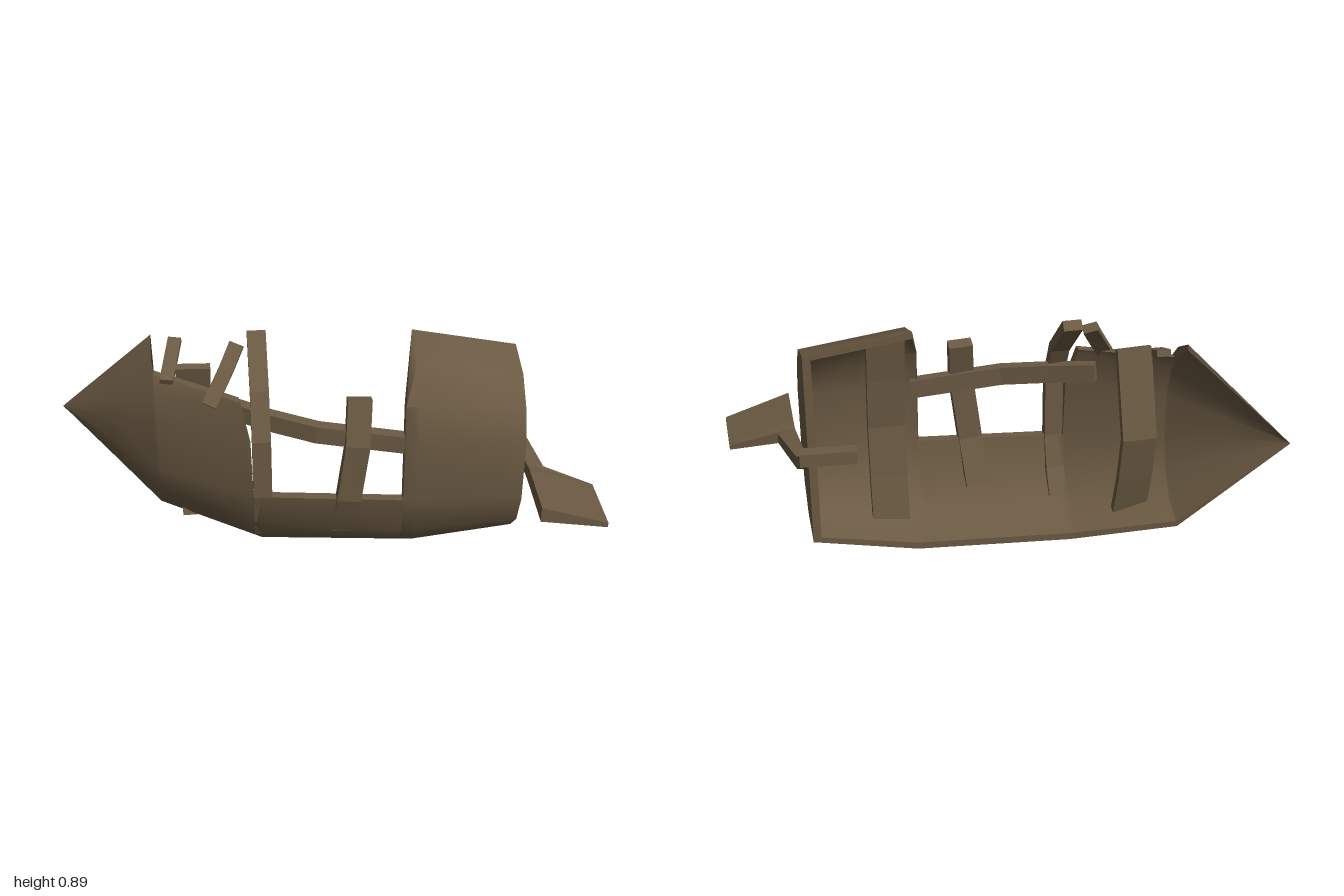
import * as THREE from 'three';

const MID = 0.45;

// Hull stations: x, four z values (rim to keel), four half-heights about MID
const STATIONS = [
  [-1.0, -0.43, -0.428, -0.425, -0.42, 0, 0, 0, 0],
  [-0.63, -0.30, -0.20, -0.125, -0.095, 0.375, 0.325, 0.215, 0.1],
  [-0.24, -0.19, -0.02, 0.07, 0.10, 0.445, 0.395, 0.275, 0.12],
  [0.34, -0.13, 0.04, 0.14, 0.17, 0.445, 0.395, 0.275, 0.12],
  [0.73, -0.107, 0.05, 0.14, 0.19, 0.378, 0.34, 0.25, 0.12],
];

// Broken upper edge: x and height at which the planking ends
const COLUMNS = [
  [-1, 1], [-0.8, 1], [-0.63, 1], [-0.622, 0.73], [-0.45, 0.72], [-0.31, 0.71],
  [-0.275, 0.55], [-0.27, 0.33], [-0.24, 0.33], [0.05, 0.33], [0.286, 0.33],
  [0.29, 0.72], [0.34, 1], [0.53, 1], [0.73, 1],
];

// Eight-point cross-section at x, ordered bottom rim to top rim, cut off at top
function section(x, top, inner) {
  let i = 0;
  while (i < STATIONS.length - 2 && x > STATIONS[i + 1][0]) i++;
  const a = STATIONS[i], b = STATIONS[i + 1];
  const t = (x - a[0]) / (b[0] - a[0]);
  const s = a.map((v, k) => v + (b[k] - v) * t);
  const ring = [];
  for (let j = 0; j < 8; j++) {
    const k = j < 4 ? j : 7 - j;
    let z = s[1 + k], h = s[5 + k];
    if (inner) {
      z = s[1] + (z - s[1]) * 0.88;
      h *= 0.94;
    }
    ring.push(new THREE.Vector3(x, MID + (j < 4 ? -h : h), z));
  }
  for (let j = 1; j < 8; j++) {
    if (ring[j].y > top) {
      const p = ring[j - 1], q = ring[j];
      const cut = p.clone().lerp(q, q.y > p.y ? Math.max(0, (top - p.y) / (q.y - p.y)) : 0);
      for (let k = j; k < 8; k++) ring[k] = cut.clone();
      break;
    }
  }
  return ring;
}

// Surface through rows of points
function skin(rows, smooth) {
  const n = rows[0].length, index = [];
  for (let i = 0; i < rows.length - 1; i++) {
    for (let j = 0; j < n - 1; j++) {
      const a = i * n + j, b = a + n;
      index.push(a, b, a + 1, b, b + 1, a + 1);
    }
  }
  let g = new THREE.BufferGeometry().setFromPoints(rows.flat());
  g.setIndex(index);
  if (!smooth) g = g.toNonIndexed();
  g.computeVertexNormals();
  return g;
}

// Solid lofted through closed four-corner rings, with end caps
function loft(rings) {
  const rows = rings.map((r) => [...r, r[0]]);
  const cap = (r) => [r[0], r[0], r[0], r[0], r[0]];
  const end = (r) => {
    const c = r[0].clone().add(r[1]).add(r[2]).add(r[3]).multiplyScalar(0.25);
    return cap([c]);
  };
  return skin([end(rings[0]), ...rows, end(rings[rings.length - 1])], false);
}

// Timber of rectangular section along a path; side gives the width direction
function timber(path, width, depth, side) {
  const pts = path.map((p) => new THREE.Vector3(...p));
  const rings = pts.map((p, i) => {
    const t = pts[Math.min(i + 1, pts.length - 1)].clone().sub(pts[Math.max(i - 1, 0)]).normalize();
    const n = new THREE.Vector3().crossVectors(t, new THREE.Vector3(...side)).normalize();
    const u = new THREE.Vector3().crossVectors(n, t).normalize();
    return [[1, 1], [-1, 1], [-1, -1], [1, -1]].map(([a, b]) =>
      p.clone().addScaledVector(u, a * width / 2).addScaledVector(n, b * depth / 2));
  });
  return loft(rings);
}

export function createModel() {
  const group = new THREE.Group();
  const wood = new THREE.MeshStandardMaterial({ color: 0x6b5a43, side: THREE.DoubleSide });
  wood.name = 'weathered wood';
  const add = (name, geometry) => {
    const mesh = new THREE.Mesh(geometry, wood);
    mesh.name = name;
    group.add(mesh);
    return mesh;
  };

  // Planked shell with thickness
  const last = COLUMNS.length - 1;
  const outer = COLUMNS.map(([x, top]) => section(x, top, false));
  const inner = COLUMNS.map(([x, top], i) =>
    section(i === 0 ? -0.97 : i === last ? 0.70 : x, top, true));
  add('outerHull', skin(outer, true));
  add('innerHull', skin(inner, true));
  add('lowerRim', skin(outer.map((r, i) => [r[0], inner[i][0]]), false));
  add('upperRim', skin(outer.map((r, i) => [r[7], inner[i][7]]), false));

  // Closed stern wall
  const wall = (ring) => skin([0, 1, 2, 3].map((j) => [ring[j], ring[7 - j]]), false);
  add('sternWall', wall(outer[last]));
  add('sternWallInside', wall(inner[last]));
  add('sternWallEdge', skin([[outer[last][0], outer[last][7]], [inner[last][0], inner[last][7]]], false));

  // Ribs
  const X = [1, 0, 0];
  add('bowRib', timber([[-0.48, 0.09, -0.155], [-0.485, 0.25, -0.195], [-0.485, 0.43, -0.23],
    [-0.48, 0.6, -0.19], [-0.475, 0.765, -0.15]], 0.13, 0.03, X));
  add('sternRib', timber([[0.42, 0.07, 0.0], [0.42, 0.25, 0.03], [0.42, 0.45, 0.05],
    [0.42, 0.65, 0.03], [0.42, 0.83, 0.0]], 0.14, 0.03, X));
  add('exposedRib', timber([[-0.235, 0.1, -0.01], [-0.235, 0.2, 0.045], [-0.235, 0.33, 0.08],
    [-0.235, 0.57, 0.08], [-0.235, 0.73, 0.0], [-0.235, 0.885, -0.175]], 0.07, 0.04, X));
  add('brokenRib', timber([[0.07, 0.15, 0.06], [0.085, 0.33, 0.125], [0.115, 0.57, 0.135],
    [0.125, 0.74, 0.09]], 0.09, 0.05, X));

  // Lengthwise beam behind the breach
  add('stringer', timber([[-0.36, 0.64, -0.06], [-0.2, 0.62, 0.02], [-0.03, 0.6, 0.085],
    [0.31, 0.56, 0.125]], 0.07, 0.045, [0, 1, 0]));

  // Splintered struts at the bow
  add('bowStrut', timber([[-0.575, 0.725, -0.11], [-0.54, 0.8, -0.3]], 0.05, 0.025, X));
  add('leaningStrut', timber([[-0.42, 0.68, 0.0], [-0.35, 0.79, -0.08], [-0.31, 0.855, -0.14]], 0.055, 0.035, X));

  // Steering oar hooked around the stern: z followed by its four x, y corners
  const oar = [
    [0.42, 0.75, 0.45, 1.0, 0.37, 1.0, 0.35, 0.75, 0.39],
    [0.175, 0.755, 0.45, 1.0, 0.37, 1.0, 0.35, 0.755, 0.39],
    [0.12, 0.755, 0.44, 0.82, 0.425, 0.82, 0.385, 0.755, 0.39],
    [-0.14, 0.738, 0.455, 0.775, 0.455, 0.775, 0.405, 0.738, 0.4],
    [-0.18, 0.735, 0.475, 0.765, 0.475, 0.765, 0.43, 0.735, 0.43],
  ];
  add('steeringOar', loft(oar.map(([z, ...c]) =>
    [0, 2, 4, 6].map((k) => new THREE.Vector3(c[k], c[k + 1], z)))));
  add('oarHandle', timber([[0.56, 0.455, -0.17], [0.765, 0.455, -0.155]], 0.05, 0.055, [0, 1, 0]));

  return group;
}
